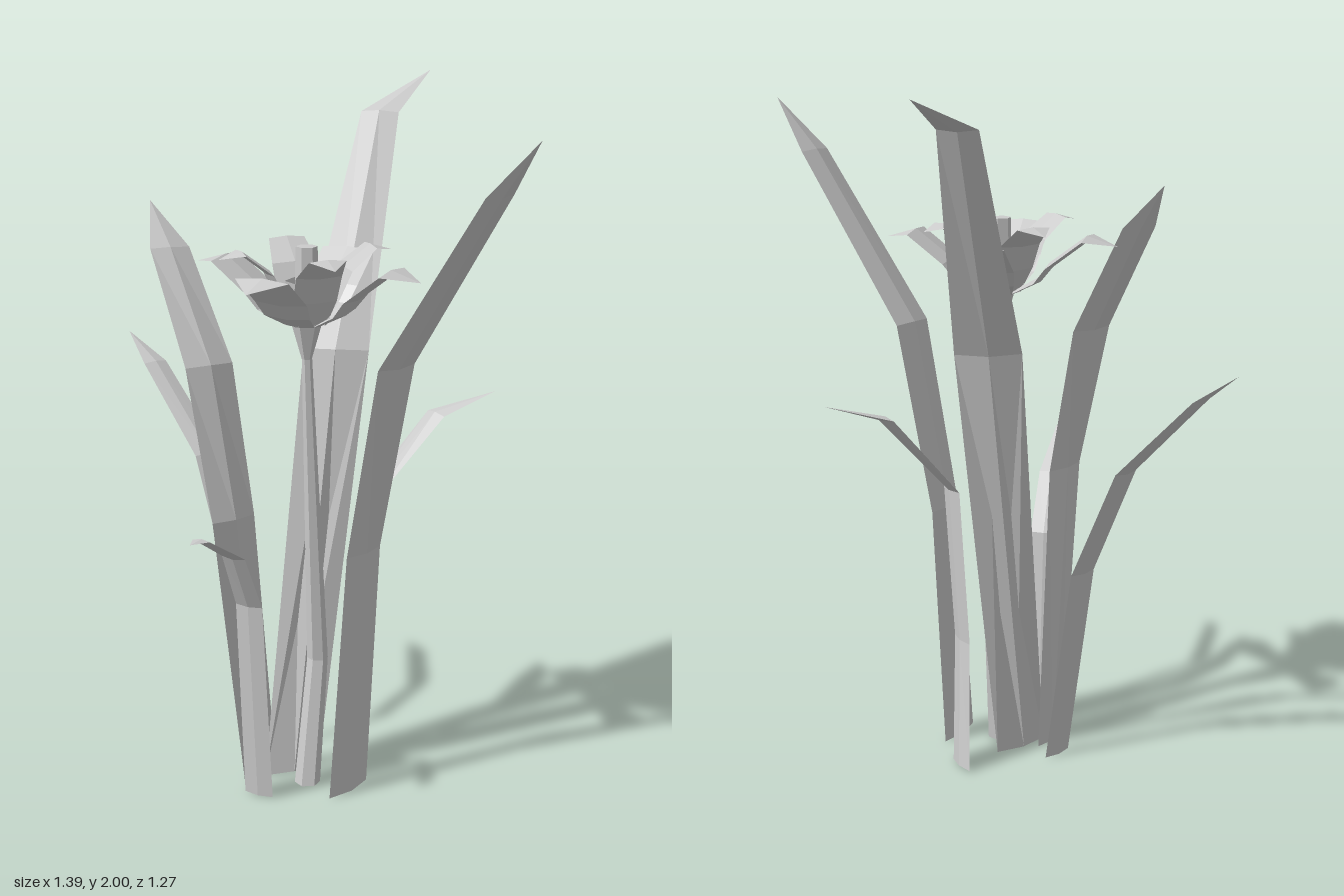
import * as THREE from 'three';

const material = new THREE.MeshStandardMaterial({ color: 0xcccccc, flatShading: true, side: THREE.DoubleSide });

// Thin blade with sharp edges and a shallow ridge on both faces.
// Sections are [x, y, z, halfWidthX, halfWidthZ]; the blade closes in a pointed tip.
function blade(name, sections, tip, ridge = 0.18) {
  const tipPoint = new THREE.Vector3(...tip);
  const centres = sections.map(([x, y, z]) => new THREE.Vector3(x, y, z));
  centres.push(tipPoint);
  const rows = sections.map(([, , , hx, hz], i) => {
    const half = new THREE.Vector3(hx, 0, hz);
    const tangent = centres[i + 1].clone().sub(centres[Math.max(i - 1, 0)]);
    const rise = tangent.cross(half).setLength(half.length() * ridge);
    const c = centres[i];
    return [c.clone().sub(half), c.clone().add(rise), c.clone().add(half), c.clone().sub(rise)];
  });

  const points = [];
  rows.forEach((a, i) => {
    const b = rows[i + 1];
    for (let j = 0; j < 4; j++) {
      const k = (j + 1) % 4;
      if (b) points.push(a[j], b[k], a[k], a[j], b[j], b[k]);
      else points.push(a[j], tipPoint, a[k]);
    }
  });
  const geometry = new THREE.BufferGeometry().setFromPoints(points);
  geometry.computeVertexNormals();
  const mesh = new THREE.Mesh(geometry, material);
  mesh.name = name;
  return mesh;
}

// Ring of petals from a profile of [radius, y, halfWidth]
function petalRing(name, profile, tip, startAngle) {
  const ring = new THREE.Group();
  ring.name = name;
  for (let i = 0; i < 4; i++) {
    const petal = blade('petal', profile.map(([r, y, w]) => [r, y, 0, 0, w]), [tip[0], tip[1], 0], 0.1);
    petal.rotation.y = startAngle + i * Math.PI / 2;
    ring.add(petal);
  }
  return ring;
}

// Six-sided tapered piece between two heights, leaning from z0 to z1
function taper(name, r0, r1, y0, y1, z0 = 0, z1 = 0, open = false) {
  const height = y1 - y0;
  const geometry = new THREE.CylinderGeometry(r1, r0, height, 6, 1, open);
  geometry.applyMatrix4(new THREE.Matrix4().makeShear(0, 0, 0, (z1 - z0) / height, 0, 0));
  geometry.translate(0, (y0 + y1) / 2, (z0 + z1) / 2);
  const mesh = new THREE.Mesh(geometry, material);
  mesh.name = name;
  return mesh;
}

export function createModel() {
  const model = new THREE.Group();
  model.name = 'floweringPlant';

  // Leaves
  model.add(
    blade('leftLeaf', [
      [0.16, 0, 0.12, 0.02, -0.08], [0.193, 0.73, 0.095, 0.018, -0.07],
      [0.293, 1.28, 0.105, 0.026, -0.062], [0.585, 1.77, 0.113, 0.02, -0.05],
    ], [0.695, 1.92, 0.11]),
    blade('tallBackLeaf', [
      [-0.045, 0, 0.08, 0.052, -0.072],
      [0, 1.25, -0.115, 0.09, -0.03], [0.005, 1.9, -0.385, 0.055, -0.01],
    ], [0.052, 2, -0.637]),
    blade('rightLeaf', [
      [-0.165, 0, 0.05, -0.024, 0.042], [-0.24, 0.58, 0.04, -0.024, 0.042],
      [-0.375, 0.91, -0.02, -0.022, 0.037], [-0.595, 1.15, -0.088, -0.018, 0.032],
    ], [-0.7, 1.23, -0.113]),
    blade('frontRightLeaf', [
      [-0.12, 0, 0.14, -0.02, 0.06], [-0.13, 0.83, 0.265, -0.03, 0.065],
      [-0.21, 1.26, 0.25, -0.04, 0.06], [-0.355, 1.57, 0.207, -0.04, 0.038],
    ], [-0.43, 1.695, 0.185]),
    blade('frontLeaf', [
      [-0.055, 0, 0.267, 0.045, 0], [-0.055, 0.6, 0.315, 0.042, 0],
      [-0.055, 0.77, 0.4, 0.036, 0], [-0.055, 0.872, 0.57, 0.026, 0],
    ], [-0.052, 0.88, 0.635]),
    blade('backLeftLeaf', [
      [0.085, 0, -0.11, 0.035, 0.035], [0.1, 0.37, -0.045, 0.033, 0.036],
      [0.13, 0.83, -0.045, 0.034, 0.036], [0.275, 1.07, -0.21, 0.035, 0.022],
    ], [0.41, 1.125, -0.33]),
  );

  // Flower on its bent stem
  const flower = new THREE.Group();
  flower.name = 'flower';
  flower.position.set(0.032, 0, 0.13);
  flower.add(
    taper('lowerStem', 0.037, 0.03, 0, 0.37, 0, -0.065),
    taper('upperStem', 0.03, 0.014, 0.37, 1.3, -0.065, 0),
    taper('flowerBase', 0.014, 0.045, 1.28, 1.39),
    petalRing('outerPetals', [
      [0.04, 1.38, 0.045], [0.115, 1.42, 0.07], [0.15, 1.465, 0.08], [0.255, 1.545, 0.08],
    ], [0.342, 1.525], 0),
    petalRing('innerPetals', [
      [0.035, 1.38, 0.045], [0.075, 1.455, 0.062], [0.11, 1.53, 0.065], [0.185, 1.587, 0.052],
    ], [0.248, 1.572], Math.PI / 4),
    taper('flowerCup', 0.035, 0.06, 1.38, 1.5, 0, 0, true),
    taper('flowerCentre', 0.035, 0.03, 1.38, 1.595),
  );
  model.add(flower);
  return model;
}
